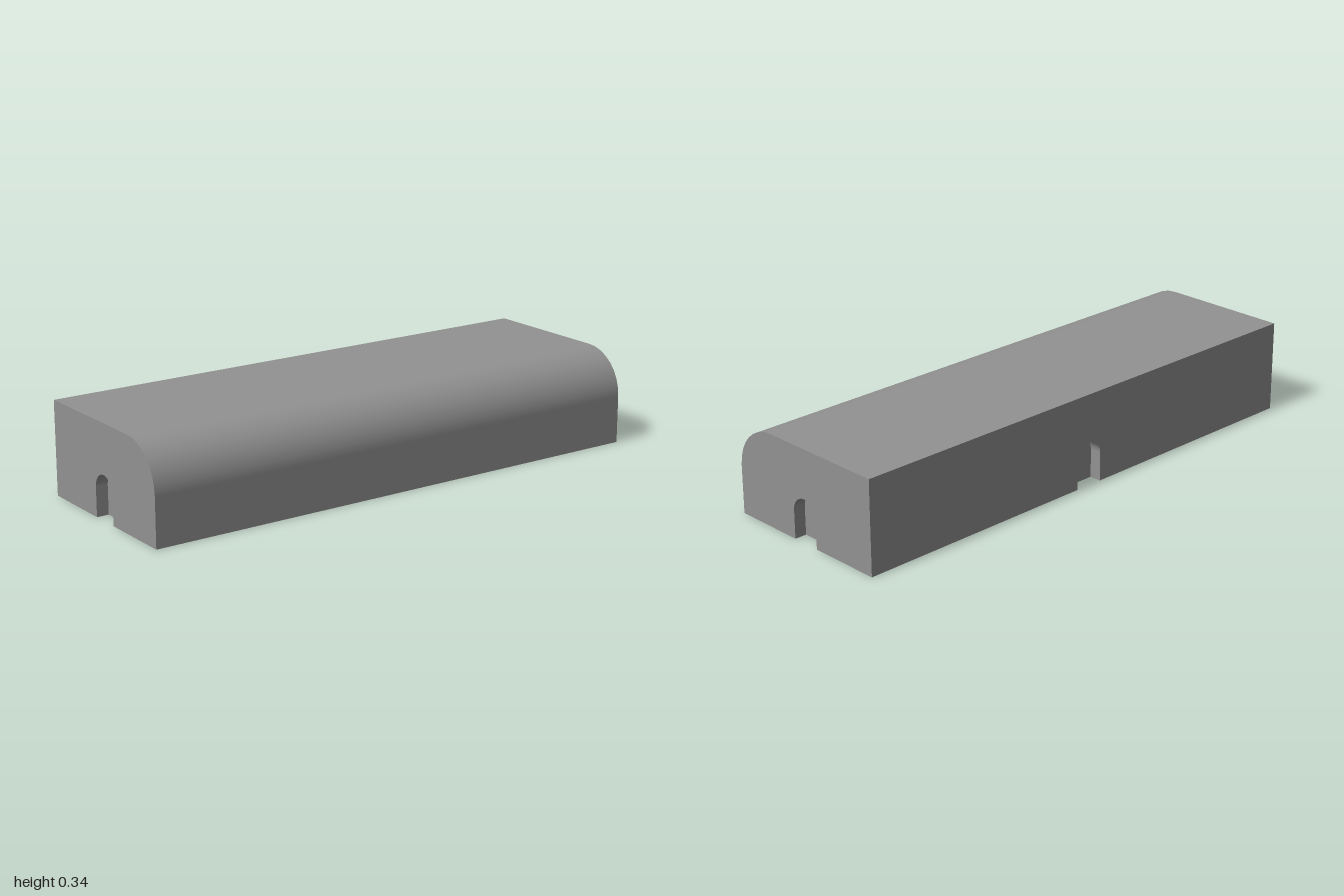
import * as THREE from 'three';

const L = 1, D = 0.333, H = 0.345;                 // half length, half depth, height
const R = 0.167, STEPS = 8;                        // rounded front edge
const NR = 0.056, NY = 0.107, ND = 0.045;          // notch radius, arch centre height, depth
const GROOVE = { x: 0.955, z: 0.276, w: 0.02, d: 0.02 };

const COLOR = 0x929292;
const material = new THREE.MeshStandardMaterial({ color: COLOR });
const inside = new THREE.MeshStandardMaterial({ color: COLOR, side: THREE.BackSide });

function add(parent, name, geometry, mat = material) {
  const mesh = new THREE.Mesh(geometry, mat);
  mesh.name = name;
  parent.add(mesh);
}

const toShape = (pts) => new THREE.Shape(pts.map(([x, y]) => new THREE.Vector2(x, y)));

// Arched outline, from bottom left over the top to bottom right
function archPoints() {
  const pts = [[-NR, 0]];
  for (let i = 0; i <= 12; i++) {
    const a = Math.PI * (1 - i / 12);
    pts.push([NR * Math.cos(a), NY + NR * Math.sin(a)]);
  }
  pts.push([NR, 0]);
  return pts;
}

// Inner surfaces of a notch that opens towards local +z
function makeNotch(name) {
  const notch = new THREE.Group();
  notch.name = name;
  add(notch, 'notchBack', new THREE.ShapeGeometry(toShape(archPoints())).translate(0, 0, -ND));
  add(notch, 'notchArch', new THREE.CylinderGeometry(NR, NR, ND, 12, 1, true, Math.PI / 2, Math.PI)
    .rotateX(Math.PI / 2).translate(0, NY, -ND / 2), inside);
  for (const s of [-1, 1]) {
    add(notch, 'notchSide', new THREE.PlaneGeometry(ND, NY)
      .rotateY(-s * Math.PI / 2).translate(s * NR, NY / 2, -ND / 2));
  }
  return notch;
}

// End wall outline; s is the side on which the rounded front lies
function endShape(s) {
  const top = [];
  for (let i = 0; i <= STEPS; i++) {
    const a = (i / STEPS) * Math.PI / 2;
    top.push([s * (D - R + R * Math.cos(a)), H - R + R * Math.sin(a)]);
  }
  top.push([-s * D, H]);
  if (s < 0) top.reverse();
  return toShape([...archPoints(), [D, 0], ...top, [-D, 0]]);
}

export function createModel() {
  const model = new THREE.Group();
  model.name = 'cover';

  // Top, rounded edge and front
  add(model, 'top', new THREE.PlaneGeometry(2 * L, 2 * D - R)
    .rotateX(-Math.PI / 2).translate(0, H, -R / 2));
  add(model, 'roundedEdge', new THREE.CylinderGeometry(R, R, 2 * L, STEPS, 1, true, 0, Math.PI / 2)
    .rotateZ(Math.PI / 2).translate(0, H - R, D - R));
  add(model, 'front', new THREE.PlaneGeometry(2 * L, H - R).translate(0, (H - R) / 2, D));

  // End walls, each with a notch
  for (const s of [-1, 1]) {
    const end = new THREE.Group();
    end.name = s > 0 ? 'leftEnd' : 'rightEnd';
    add(end, 'endWall', new THREE.ShapeGeometry(endShape(-s)));
    end.add(makeNotch('endNotch'));
    end.rotation.y = s * Math.PI / 2;
    end.position.x = s * L;
    model.add(end);
  }

  // Back wall with a central notch
  const back = new THREE.Group();
  back.name = 'back';
  add(back, 'backWall', new THREE.ShapeGeometry(
    toShape([...archPoints(), [L, 0], [L, H], [-L, H], [-L, 0]])));
  back.add(makeNotch('backNotch'));
  back.rotation.y = Math.PI;
  back.position.z = -D;
  model.add(back);

  // Underside, cut by the notches and the groove
  const under = toShape([
    [-L, -D], [-NR, -D], [-NR, -D + ND], [NR, -D + ND], [NR, -D], [L, -D],
    [L, -NR], [L - ND, -NR], [L - ND, NR], [L, NR], [L, D],
    [-L, D], [-L, NR], [-L + ND, NR], [-L + ND, -NR], [-L, -NR],
  ]);
  const { x, z, w, d } = GROOVE;
  under.holes.push(toShape([[-x, z - w / 2], [-x, z + w / 2], [x, z + w / 2], [x, z - w / 2]]));
  add(model, 'underside', new THREE.ShapeGeometry(under).rotateX(Math.PI / 2));

  // Groove walls: an inside-out box without its lower face
  const groove = new THREE.BoxGeometry(2 * x, d, w).translate(0, d / 2, z);
  const index = Array.from(groove.index.array);
  index.splice(18, 6);
  groove.setIndex(index);
  groove.clearGroups();
  add(model, 'groove', groove, inside);

  return model;
}
